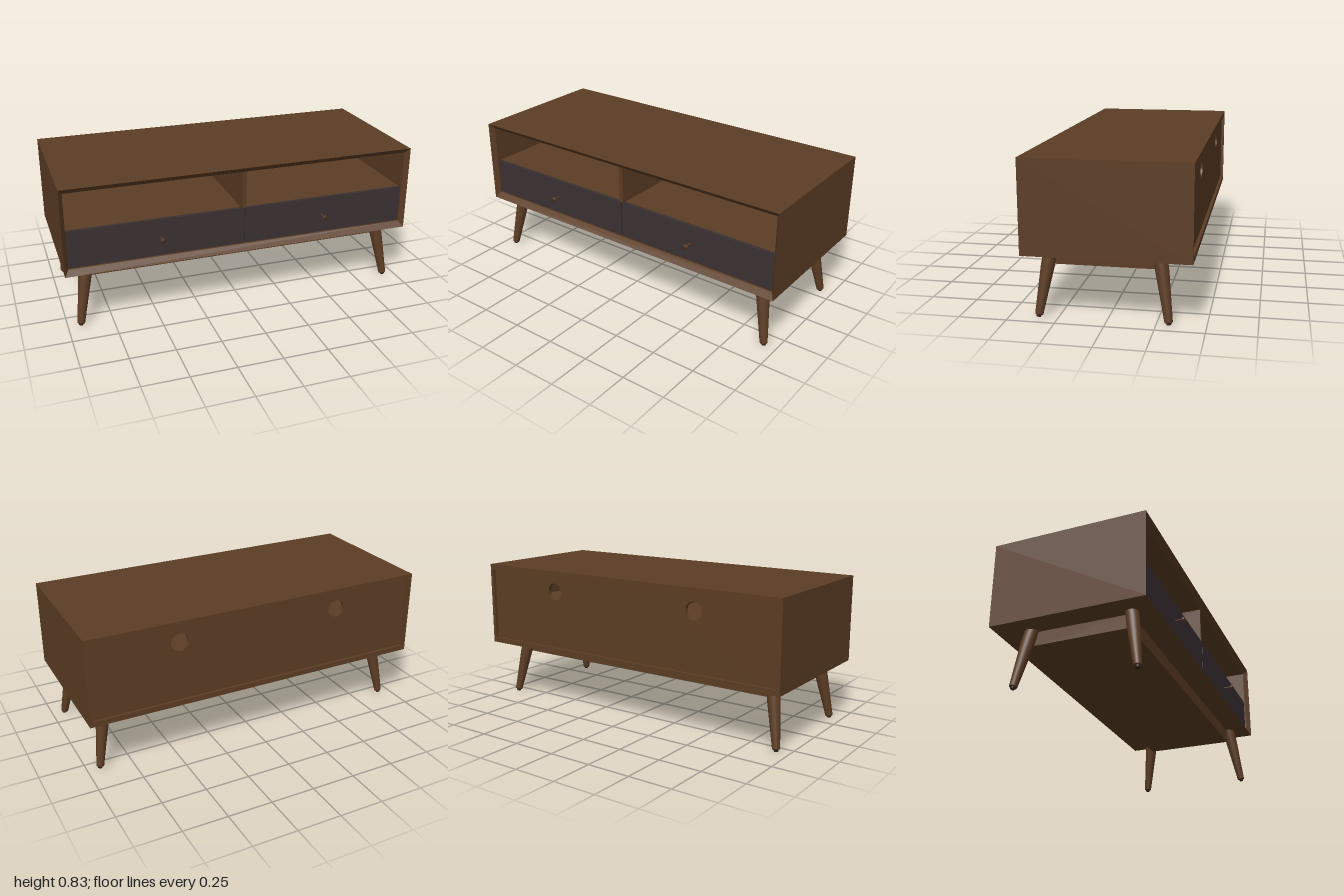
import * as THREE from 'three';

const wood = new THREE.MeshStandardMaterial({ name: 'walnut wood', color: 0x5c3d24 });
const charcoal = new THREE.MeshStandardMaterial({ name: 'charcoal drawer', color: 0x3a3032 });
const darkFoot = new THREE.MeshStandardMaterial({ name: 'dark foot', color: 0x2e2219 });

function add(parent, name, geometry, material, x = 0, y = 0, z = 0) {
  const mesh = new THREE.Mesh(geometry, material);
  mesh.name = name;
  mesh.position.set(x, y, z);
  parent.add(mesh);
  return mesh;
}

// Box given by its minimum and maximum corners
function block(parent, name, material, [x0, y0, z0], [x1, y1, z1]) {
  return add(parent, name, new THREE.BoxGeometry(x1 - x0, y1 - y0, z1 - z0), material,
    (x0 + x1) / 2, (y0 + y1) / 2, (z0 + z1) / 2);
}

// Rectangular sleeve swept through rings of [half width, bottom, top, z]
function sleeve(rings) {
  const corners = rings.map(([w, b, t, z]) => [[-w, b, z], [w, b, z], [w, t, z], [-w, t, z]]);
  const points = [];
  corners.forEach((ring, i) => {
    const next = corners[(i + 1) % corners.length];
    for (let k = 0; k < 4; k++) {
      const m = (k + 1) % 4;
      points.push(...ring[k], ...ring[m], ...next[m], ...ring[k], ...next[m], ...next[k]);
    }
  });
  const geometry = new THREE.BufferGeometry();
  geometry.setAttribute('position', new THREE.Float32BufferAttribute(points, 3));
  geometry.computeVertexNormals();
  return geometry;
}

// Back panel with two round cable holes
function backPanelGeometry() {
  const shape = new THREE.Shape();
  shape.moveTo(-0.98, 0.37).lineTo(0.98, 0.37).lineTo(0.98, 0.8).lineTo(-0.98, 0.8).closePath();
  for (const x of [-0.484, 0.484]) {
    shape.holes.push(new THREE.Path().absarc(x, 0.705, 0.05, 0, Math.PI * 2, true));
  }
  return new THREE.ExtrudeGeometry(shape, { depth: 0.02, bevelEnabled: false, curveSegments: 24 });
}

// Splayed tapering leg with a small foot
function makeLeg(sx, top, bottom) {
  const leg = new THREE.Group();
  const axis = top.clone().sub(bottom);
  const h = axis.length();
  const profile = [[0, 0.014], [0.02, 0.014], [0.021, 0.018], [0.035, h * 0.77], [0.035, h + 0.01], [0, h + 0.01]];
  // sharp rims come from separate lathes for shaft and end cap
  const lathe = (pts) => new THREE.LatheGeometry(pts.map(([r, y]) => new THREE.Vector2(r, y)), 24);
  add(leg, 'legShaft', lathe(profile.slice(2, 5)), wood);
  add(leg, 'legEnd', lathe(profile.slice(0, 3)), wood);
  add(leg, 'footPad', new THREE.CylinderGeometry(0.014, 0.011, 0.014, 20), darkFoot, 0, 0.009, 0);
  leg.quaternion.setFromUnitVectors(new THREE.Vector3(0, 1, 0), axis.normalize());
  leg.position.copy(bottom);
  return leg;
}

export function createModel() {
  const model = new THREE.Group();
  model.name = 'mediaConsole';

  // Outer case with a chamfered front edge
  add(model, 'case', sleeve([
    [1, 0.34, 0.83, -0.437], [1, 0.34, 0.83, 0.42],
    [0.978, 0.37, 0.8, 0.392], [0.978, 0.37, 0.8, -0.437],
  ]), wood);
  add(model, 'backPanel', backPanelGeometry(), wood, 0, 0, -0.42);

  // Interior
  block(model, 'shelf', wood, [-0.98, 0.565, -0.4], [0.98, 0.582, 0.368]);
  block(model, 'divider', wood, [-0.008, 0.582, -0.4], [0.016, 0.8, 0.385]);
  block(model, 'lowerDivider', charcoal, [-0.008, 0.37, -0.4], [0.016, 0.565, 0.366]);

  // Drawers and flared knobs
  const knobProfile = [[0.005, 0], [0.005, 0.034], [0.015, 0.05], [0, 0.052]];
  const knob = new THREE.LatheGeometry(knobProfile.map(([r, y]) => new THREE.Vector2(r, y)), 16);
  knob.rotateX(Math.PI / 2);
  for (const [side, x0, x1] of [['right', -0.976, 0.004], ['left', 0.009, 0.976]]) {
    block(model, side + 'DrawerFront', charcoal, [x0, 0.374, 0.367], [x1, 0.585, 0.387]);
    add(model, side + 'Knob', knob, wood, side === 'left' ? 0.473 : -0.473, 0.48, 0.385);
  }

  // Base between the legs
  block(model, 'base', wood, [-0.86, 0.263, -0.25], [0.86, 0.34, 0.285]);

  // Legs
  for (const sx of [-1, 1]) {
    for (const sz of [-1, 1]) {
      const leg = makeLeg(sx,
        new THREE.Vector3(sx * 0.872, 0.34, 0.018 + sz * 0.279),
        new THREE.Vector3(sx * 0.93, 0, 0.018 + sz * 0.333));
      leg.name = (sz > 0 ? 'front' : 'back') + (sx > 0 ? 'Left' : 'Right') + 'Leg';
      model.add(leg);
    }
  }
  return model;
}
